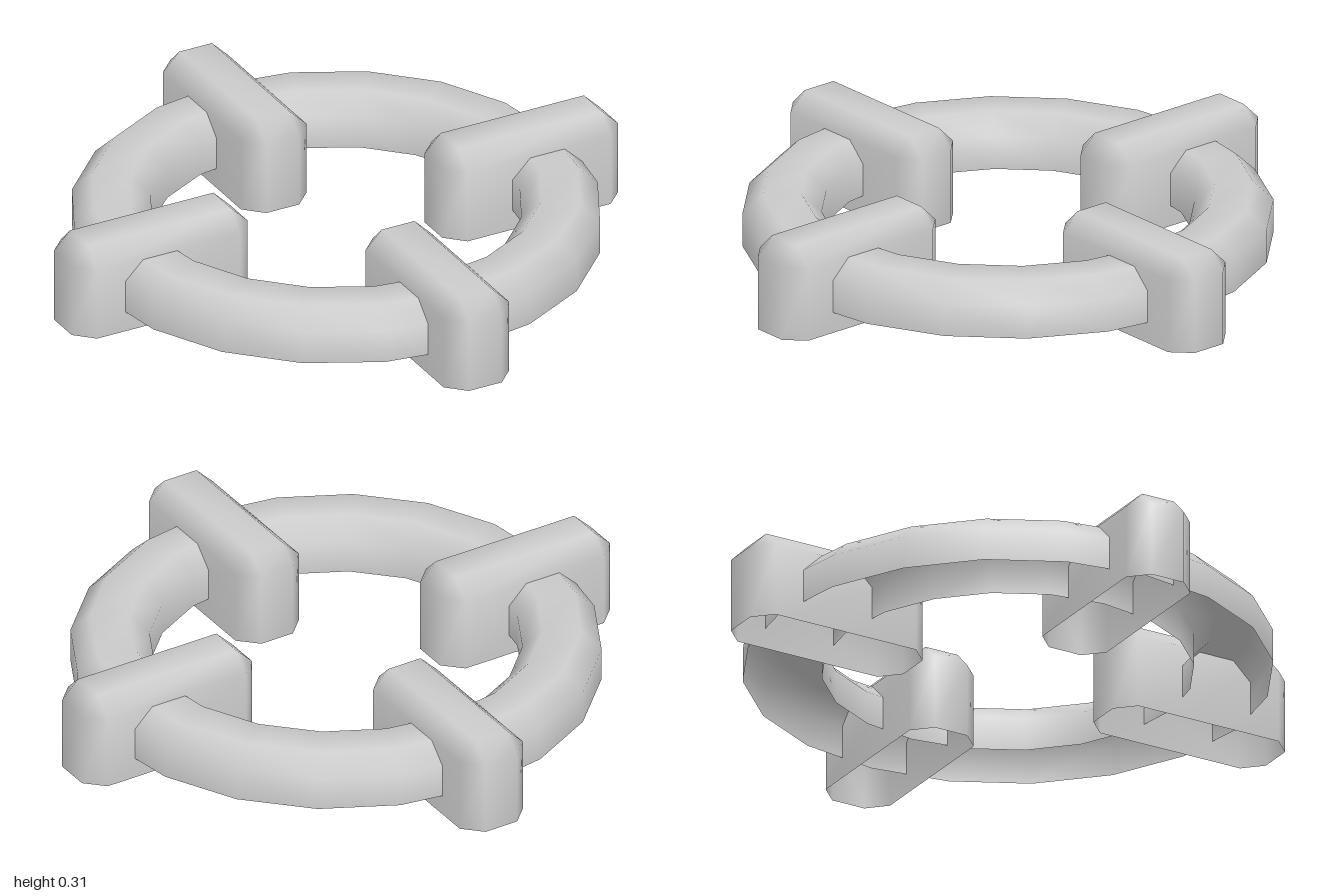
import * as THREE from 'three';

const material = new THREE.MeshStandardMaterial({ color: 0xcccccc, side: THREE.DoubleSide });

// Open-bottomed block with bevelled uprights and top, long along z
function blockGeometry(halfWidth, halfLength, height, bevel) {
  const w = halfWidth, l = halfLength, iw = w - bevel, il = l - bevel;
  const corners = [[1, 1], [1, -1], [-1, -1], [-1, 1]];
  const pos = [], index = [];

  // Two octagonal sections, then the inset top rectangle
  for (const y of [0, height - bevel]) {
    corners.forEach(([sx, sz], i) => {
      const pair = [[sx * iw, y, sz * l], [sx * w, y, sz * il]];
      if (i % 2) pair.reverse();
      pos.push(...pair[0], ...pair[1]);
    });
  }
  for (const [sx, sz] of corners) pos.push(sx * iw, height, sz * il);

  for (let i = 0; i < 8; i++) {
    const j = (i + 1) % 8;
    const ti = 16 + (i >> 1), tj = 16 + (j >> 1);
    index.push(i, j, 8 + j, i, 8 + j, 8 + i); // wall
    index.push(8 + i, 8 + j, tj); // top bevel
    if (ti !== tj) index.push(8 + i, tj, ti);
  }
  index.push(16, 17, 18, 16, 18, 19); // top

  const geometry = new THREE.BufferGeometry();
  geometry.setAttribute('position', new THREE.Float32BufferAttribute(pos, 3));
  geometry.setIndex(index);
  geometry.computeVertexNormals();
  return geometry;
}

export function createModel() {
  const group = new THREE.Group();

  // Ring: bevelled channel, open underneath
  const profile = [
    [0.855, 0.07], [0.855, 0.182], [0.79, 0.245],
    [0.665, 0.245], [0.6, 0.182], [0.6, 0.07],
  ].map(([r, y]) => new THREE.Vector2(r, y));
  const ring = new THREE.Mesh(new THREE.LatheGeometry(profile, 20), material);
  ring.name = 'ring';
  group.add(ring);

  // Four radial blocks straddling the ring
  const geometry = blockGeometry(0.12, 0.322, 0.31, 0.06);
  ['frontBlock', 'leftBlock', 'backBlock', 'rightBlock'].forEach((name, i) => {
    const angle = (i * Math.PI) / 2;
    const block = new THREE.Mesh(geometry, material);
    block.name = name;
    block.rotation.y = angle;
    block.position.set(Math.sin(angle) * 0.678, 0, Math.cos(angle) * 0.678);
    group.add(block);
  });

  return group;
}
